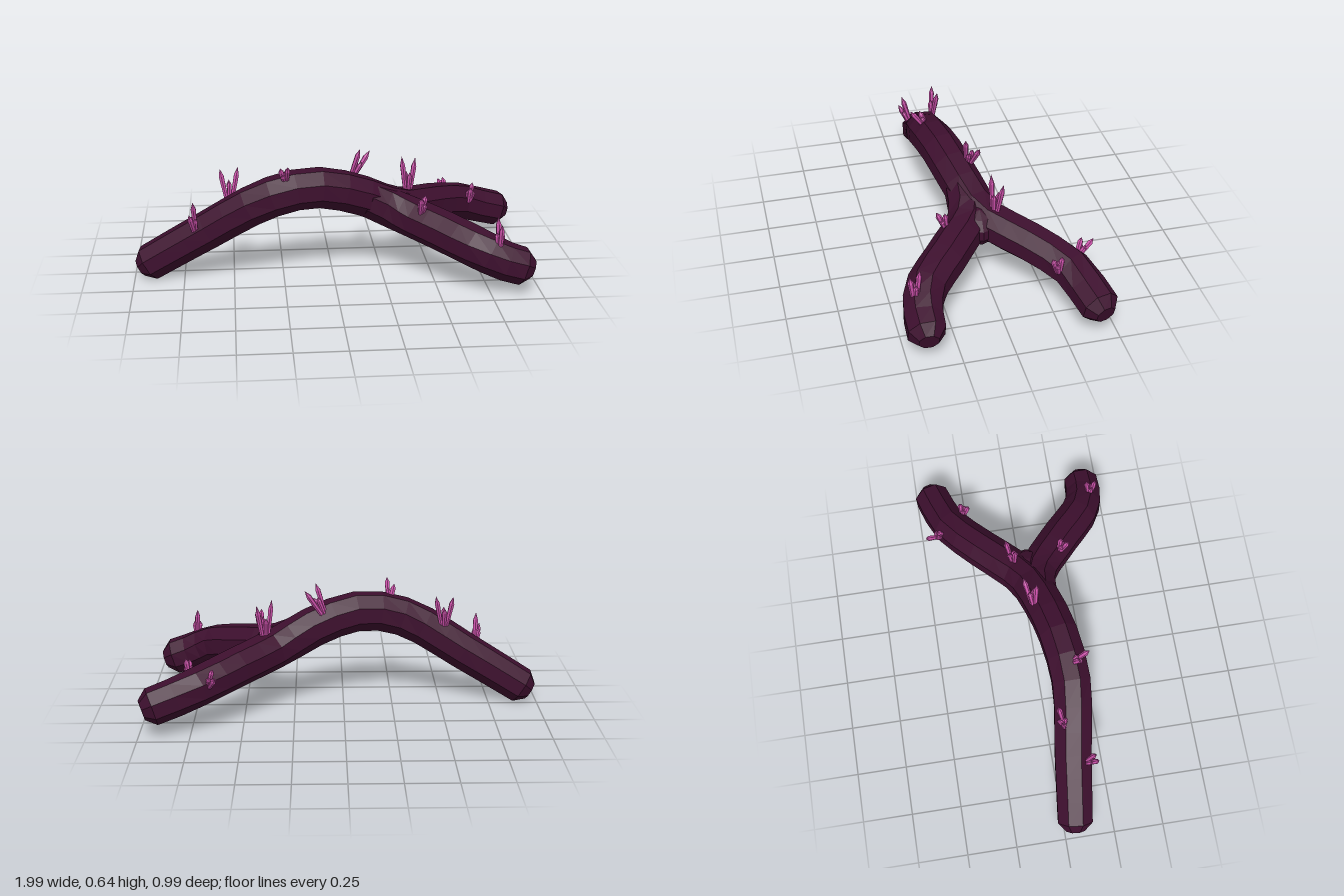
import * as THREE from 'three';

const bark = new THREE.MeshStandardMaterial({ color: 0x3d0f2e, flatShading: true });
const gem = new THREE.MeshStandardMaterial({ color: 0xc94fa8, flatShading: true });
const SIDES = 8;

// Lofts an eight-sided limb along a smooth path, with a bevelled cap at both ends.
function limb(name, points, segments) {
  const curve = new THREE.CatmullRomCurve3(points.map(p => new THREE.Vector3(...p)));
  const bevel = 0.05 / curve.getLength();
  const stations = [0];
  for (let i = 0; i <= segments; i++) stations.push(bevel + (1 - 2 * bevel) * i / segments);
  stations.push(1);

  const pos = [], index = [];
  stations.forEach(t => {
    const centre = curve.getPointAt(t), tangent = curve.getTangentAt(t);
    const side = new THREE.Vector3().crossVectors(tangent, new THREE.Vector3(0, 1, 0)).normalize();
    const up = new THREE.Vector3().crossVectors(side, tangent);
    const radius = t === 0 || t === 1 ? 0.05 : 0.093 + 0.01 * Math.sin(Math.PI * t);
    for (let k = 0; k < SIDES; k++) {
      const a = (k + 0.5) / SIDES * Math.PI * 2;
      const p = centre.clone()
        .addScaledVector(side, Math.cos(a) * radius)
        .addScaledVector(up, Math.sin(a) * radius);
      pos.push(p.x, p.y, p.z);
    }
  });
  const last = (stations.length - 1) * SIDES;
  for (let row = 0; row < last; row += SIDES) {
    for (let k = 0; k < SIDES; k++) {
      const a = row + k, b = row + (k + 1) % SIDES;
      index.push(a, a + SIDES, b, b, a + SIDES, b + SIDES);
    }
  }
  for (let k = 1; k < SIDES - 1; k++) {
    index.push(0, k, k + 1, last, last + k + 1, last + k);
  }
  const geo = new THREE.BufferGeometry();
  geo.setAttribute('position', new THREE.Float32BufferAttribute(pos, 3));
  geo.setIndex(index);
  geo.computeVertexNormals();
  const mesh = new THREE.Mesh(geo, bark);
  mesh.name = name;
  return mesh;
}

// Pointed crystal that widens towards its shoulder, running from base to tip.
function crystal(base, tip, radius) {
  const dir = tip.clone().sub(base);
  const h = dir.length();
  const profile = [[0, -0.02], [radius * 0.75, -0.02], [radius, h * 0.72], [0, h]]
    .map(p => new THREE.Vector2(...p));
  const mesh = new THREE.Mesh(new THREE.LatheGeometry(profile, 6), gem);
  mesh.position.copy(base);
  mesh.quaternion.setFromUnitVectors(new THREE.Vector3(0, 1, 0), dir.normalize());
  mesh.name = 'crystal';
  return mesh;
}

// Two long crystals side by side, with a short stub on either side of them.
function cluster(...corners) {
  const [base, tipA, tipB] = corners.map(c => new THREE.Vector3(...c));
  const middle = tipA.clone().add(tipB).multiplyScalar(0.5);
  const spread = tipA.clone().sub(middle);
  const across = new THREE.Vector3().crossVectors(spread, middle.clone().sub(base)).setLength(0.016);
  const stubTip = middle.clone().lerp(base, 0.45);
  const group = new THREE.Group();
  group.name = 'crystalCluster';
  group.add(
    crystal(base.clone().addScaledVector(spread, 0.4), tipA, 0.014),
    crystal(base.clone().addScaledVector(spread, -0.4), tipB, 0.014),
  );
  for (const s of [-1, 1]) {
    group.add(crystal(base.clone().addScaledVector(across, s * 0.5),
      stubTip.clone().addScaledVector(across, s), 0.013));
  }
  return group;
}

export function createModel() {
  const model = new THREE.Group();
  model.name = 'forkedBranch';

  // Arched main limb that continues into the rear fork
  model.add(limb('mainLimb', [
    [-0.97, 0.046, 0.053], [-0.65, 0.238, 0.09], [-0.32, 0.425, 0.132], [-0.1, 0.466, 0.112],
    [0.1, 0.42, 0.07], [0.33, 0.314, -0.01], [0.53, 0.268, -0.19], [0.72, 0.218, -0.345],
    [0.85, 0.172, -0.392], [0.98, 0.132, -0.428],
  ], 18));

  // Front fork, rooted inside the main limb
  model.add(limb('frontFork', [
    [0.14, 0.4, 0.055], [0.34, 0.312, 0.075], [0.52, 0.264, 0.21],
    [0.7, 0.21, 0.362], [0.81, 0.162, 0.396], [0.955, 0.116, 0.4],
  ], 10));

  // Swelling that fills the crotch of the fork
  const hub = new THREE.Mesh(new THREE.SphereGeometry(1, 10, 6), bark);
  hub.scale.set(0.12, 0.094, 0.12);
  hub.position.set(0.36, 0.303, 0.025);
  hub.rotation.z = -0.3;
  hub.name = 'forkSwelling';
  model.add(hub);

  // Crystal clusters: base, then the two long tips
  model.add(
    cluster([-0.69, 0.28, 0.155], [-0.695, 0.43, 0.19], [-0.715, 0.37, 0.205]),
    cluster([-0.515, 0.42, 0.06], [-0.56, 0.555, 0.05], [-0.47, 0.56, 0.04]),
    cluster([-0.24, 0.52, 0.16], [-0.23, 0.612, 0.232], [-0.265, 0.59, 0.18]),
    cluster([0.11, 0.5, 0.01], [0.14, 0.635, 0.033], [0.195, 0.61, -0.025]),
    cluster([0.395, 0.39, -0.05], [0.36, 0.57, -0.038], [0.435, 0.55, -0.08]),
    cluster([0.43, 0.36, 0.205], [0.45, 0.445, 0.21], [0.425, 0.44, 0.245]),
    cluster([0.78, 0.25, 0.425], [0.775, 0.39, 0.4], [0.785, 0.365, 0.45]),
    cluster([0.76, 0.26, -0.262], [0.775, 0.342, -0.274], [0.76, 0.325, -0.232]),
    cluster([0.65, 0.255, -0.4], [0.635, 0.332, -0.412], [0.62, 0.303, -0.478]),
  );

  return model;
}
